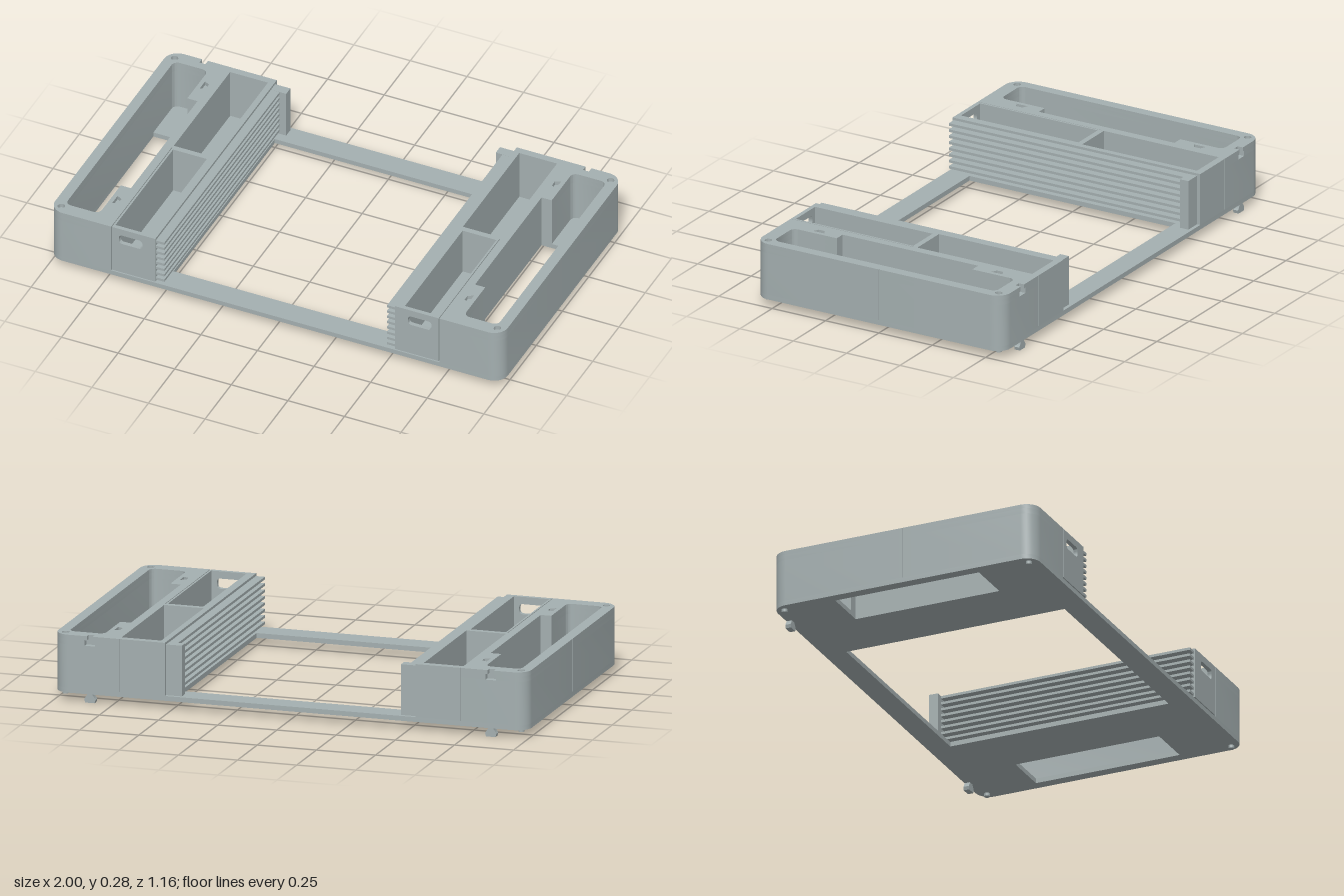
import * as THREE from 'three';
import { toCreasedNormals } from 'three/addons/utils/BufferGeometryUtils.js';

const grey = new THREE.MeshStandardMaterial({ color: 0xa4afb0 });
grey.name = 'plastic grey';

// Draws a closed outline of [a, b, cornerRadius] points into a Shape or Path.
function outline(target, pts) {
  const n = pts.length;
  pts.forEach((p, i) => {
    const v = new THREE.Vector2(p[0], p[1]);
    const toward = (q) => new THREE.Vector2(q[0], q[1]).sub(v).normalize().multiplyScalar(p[2] || 0).add(v);
    const a = toward(pts[(i + n - 1) % n]);
    const b = toward(pts[(i + 1) % n]);
    if (i === 0) target.moveTo(a.x, a.y);
    else target.lineTo(a.x, a.y);
    if (p[2]) {
      const k = 0.5523; // circular arc as a cubic
      target.bezierCurveTo(a.x + (v.x - a.x) * k, a.y + (v.y - a.y) * k,
        b.x + (v.x - b.x) * k, b.y + (v.y - b.y) * k, b.x, b.y);
    }
  });
  target.closePath();
  return target;
}

const rect = (x0, x1, y0, y1, r = 0) => [[x0, y0, r], [x1, y0, r], [x1, y1, r], [x0, y1, r]];

// Winds a list of points one way, so mirrored outlines keep their faces outward.
function wind(pts, clockwise) {
  const isClockwise = THREE.ShapeUtils.isClockWise(pts.map(([x, y]) => ({ x, y })));
  return isClockwise === clockwise ? pts : [...pts].reverse();
}

function extrude(pts, holes, depth) {
  const shape = outline(new THREE.Shape(), wind(pts, false));
  shape.holes = holes.map((h) => outline(new THREE.Path(), wind(h, true)));
  return new THREE.ExtrudeGeometry(shape, { depth, bevelEnabled: false, curveSegments: 8 });
}

function addMesh(parent, name, geometry) {
  const mesh = new THREE.Mesh(toCreasedNormals(geometry, 0.6), grey);
  mesh.name = name;
  parent.add(mesh);
}

// Extrudes an x/z plan upward from y0 to y1; s mirrors it in x.
function slab(parent, name, pts, holes, y0, y1, s = 1) {
  const flip = (list) => list.map(([x, z, r]) => [x * s, -z, r]);
  const g = extrude(flip(pts), holes.map(flip), y1 - y0);
  g.rotateX(-Math.PI / 2).translate(0, y0, 0);
  addMesh(parent, name, g);
}

function box(parent, name, x0, x1, y0, y1, z0, z1, s) {
  const g = new THREE.BoxGeometry(x1 - x0, y1 - y0, z1 - z0);
  g.translate(s * (x0 + x1) / 2, (y0 + y1) / 2, (z0 + z1) / 2);
  addMesh(parent, name, g);
}

const BASE = 0.035, FLOOR = 0.055, TOP = 0.275, Z = 0.58;

// Wall plan with a drawer slot at the front, fine seams, and an optional
// socket of the given half width in the back face
function wallPlan(socket) {
  const c = 0.847;
  return [
    [0.53, -Z], [0.719, -Z], [0.72, -Z + 0.005], [0.721, -Z],
    ...(socket ? [[c - socket, -Z], [c - socket, -0.556], [c + socket, -0.556], [c + socket, -Z]] : []),
    [1, -Z, 0.06], [1, -0.001], [0.995, 0], [1, 0.001], [1, Z, 0.06],
    [0.725, Z], [0.725, 0], [0.53, 0],
  ];
}

function sideUnit(s) {
  const unit = new THREE.Group();
  unit.name = s > 0 ? 'leftUnit' : 'rightUnit';

  // Walls around the outer tray (narrower at both ends) and the back bay
  const tray = [
    [0.955, -0.52, 0.025], [0.955, 0.52, 0.025], [0.805, 0.52, 0.025], [0.805, 0.315],
    [0.76, 0.315], [0.76, -0.32], [0.805, -0.32], [0.805, -0.52, 0.025],
  ];
  const backBay = rect(0.555, 0.722, -0.55, -0.012);
  const keys = [-0.425, 0.41].map((z) =>
    [[0.764, z - 0.014], [0.787, z - 0.026], [0.787, z + 0.026], [0.764, z + 0.014]]);
  const cornerHoles = [-0.54, 0.54].map((z) => rect(0.948, 0.978, z - 0.015, z + 0.015, 0.0149));
  slab(unit, 'lowerWalls', wallPlan(0), [tray, backBay], FLOOR, 0.235, s);
  slab(unit, 'socketWalls', wallPlan(0.022), [tray, backBay], 0.235, 0.258, s);
  slab(unit, 'topWalls', wallPlan(0.013), [tray, backBay, ...keys, ...cornerHoles], 0.258, TOP, s);

  // Drawer: floor, three walls and a front with a finger slot
  const drawer = new THREE.Group();
  drawer.name = 'drawer';
  unit.add(drawer);
  box(drawer, 'drawerFloor', 0.53, 0.722, 0.06, 0.07, 0, 0.562, s);
  slab(drawer, 'drawerWalls', [
    [0.53, 0], [0.722, 0], [0.722, 0.562], [0.714, 0.562], [0.714, 0.012],
    [0.565, 0.012], [0.565, 0.562], [0.53, 0.562],
  ], [], 0.07, TOP, s);
  const mirror = (list) => list.map(([x, y, r]) => [x * s, y, r]);
  const front = extrude(mirror(rect(0.53, 0.722, 0.06, TOP)),
    [mirror(rect(0.587, 0.69, 0.203, 0.245, 0.014))], 0.018);
  front.translate(0, 0, 0.562);
  addMesh(drawer, 'drawerFront', front);

  // Ribbed slide rails on the inner wall, with a stop plate at the back
  for (let i = 0; i < 8; i++) {
    const y = 0.068 + i * 0.0265;
    box(unit, 'slideRail', 0.492, 0.531, y, y + 0.011, -0.53, 0.575, s);
  }
  box(unit, 'railStop', 0.463, 0.531, FLOOR, 0.265, -0.565, -0.525, s);

  // Feet and dovetail hook underneath
  for (const z of [-0.54, 0.54]) {
    const foot = new THREE.CylinderGeometry(0.012, 0.012, 0.014, 20);
    foot.translate(s * 0.963, 0.029, z);
    addMesh(unit, 'foot', foot);
  }
  const hook = extrude([[-0.012, 0.04], [-0.012, 0.033], [-0.024, 0.014], [-0.02, 0], [0.02, 0],
    [0.024, 0.014], [0.012, 0.033], [0.012, 0.04]], [], 0.024);
  hook.translate(s * 0.847, 0, -Z);
  addMesh(unit, 'dovetailHook', hook);
  return unit;
}

export function createModel() {
  const model = new THREE.Group();
  model.name = 'storageFrame';
  // One base plate with the central opening and a slot under each outer tray
  const openings = [1, -1].map((s) => rect(0.76, 0.955, -0.32, 0.315).map(([x, z]) => [x * s, z]));
  slab(model, 'basePlate', rect(-1, 1, -Z, Z, 0.06),
    [rect(-0.495, 0.495, -0.485, 0.48), ...openings], BASE, FLOOR);
  model.add(sideUnit(1), sideUnit(-1));
  return model;
}
